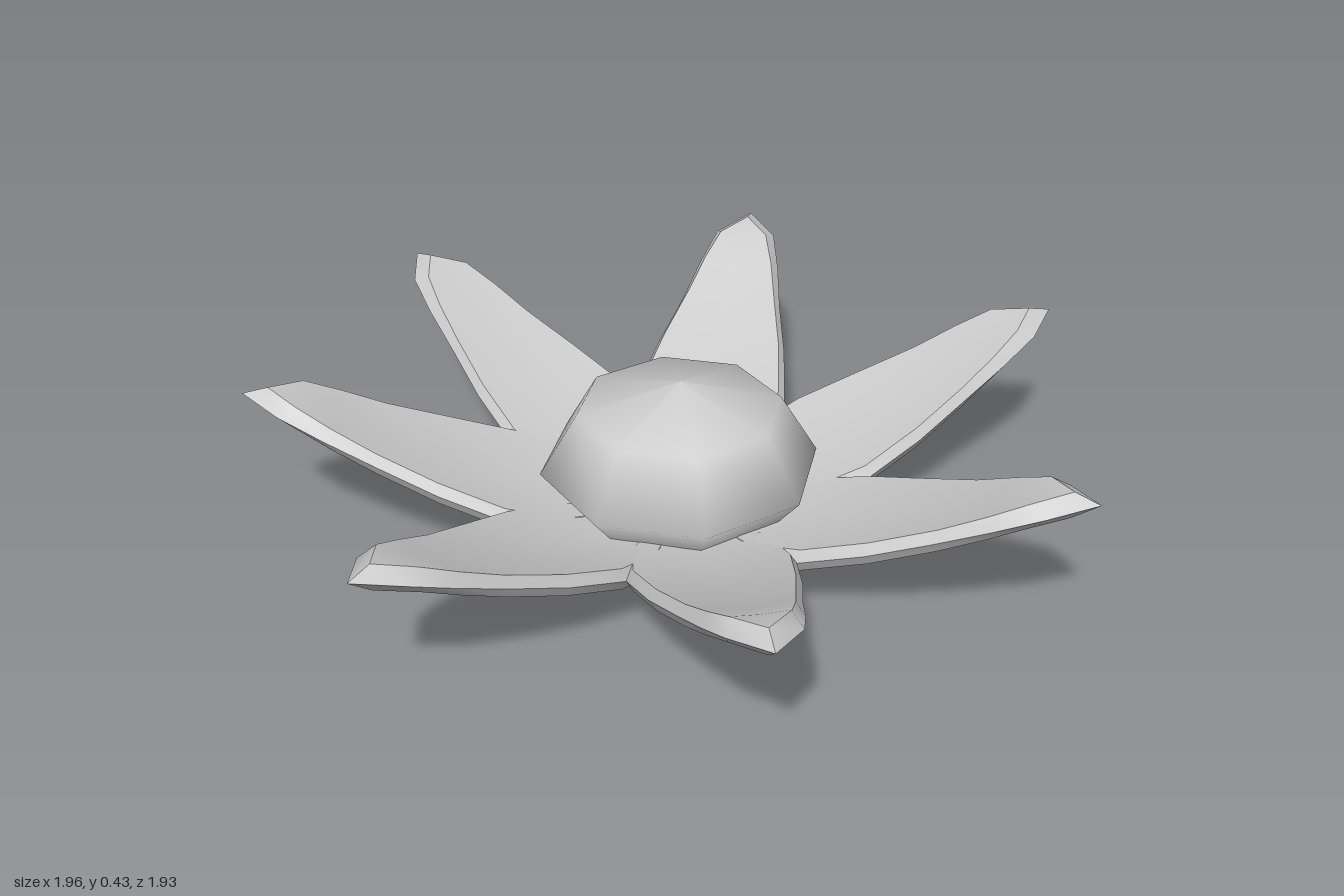
import * as THREE from 'three';
import { toCreasedNormals } from 'three/addons/utils/BufferGeometryUtils.js';

// Petal stations along its length: distance, half width, height, edge inset
const STATIONS = [
  [0.12, 0.09, 0.09, 0],
  [0.26, 0.17, 0.108, 0],
  [0.4, 0.19, 0.145, 0],
  [0.55, 0.165, 0.205, 0],
  [0.69, 0.13, 0.27, 0],
  [0.81, 0.105, 0.33, 0.02],
  [0.91, 0.077, 0.38, 0.04],
  [1.0, 0, 0.405, 0.06],
];

// Thick, slightly cupped petal pointing along +z, with bevelled rims
function petalGeometry() {
  const pos = [];
  const index = [];
  const N = 8;
  for (const [r, hw, y, inset] of STATIONS) {
    const inner = Math.max(hw - 0.016, 0);
    const up = 0.03 - inset * 0.25;
    const down = -0.025 - inset * 0.4;
    const section = [
      [-inner, up, inset], [0, up, inset], [inner, up, inset], [hw, 0, 0],
      [inner, down, inset], [0, down, inset], [-inner, down, inset], [-hw, 0, 0],
    ];
    for (const [x, dy, back] of section) pos.push(x, y + dy + 0.7 * x * x, r - back);
  }
  for (let i = 0; i < STATIONS.length - 1; i++) {
    for (let j = 0; j < N; j++) {
      const a = i * N + j;
      const b = i * N + ((j + 1) % N);
      index.push(a, a + N, b, b, a + N, b + N);
    }
  }
  // Inner end cap
  for (let j = 1; j < N - 1; j++) index.push(0, j, j + 1);
  const geo = new THREE.BufferGeometry();
  geo.setAttribute('position', new THREE.Float32BufferAttribute(pos, 3));
  geo.setIndex(index);
  return toCreasedNormals(geo, 0.6);
}

export function createModel() {
  const model = new THREE.Group();
  model.name = 'flower';
  const material = new THREE.MeshStandardMaterial({ color: 0xcccccc });

  const flower = new THREE.Group();
  flower.name = 'flowerHead';
  flower.position.z = -0.03;
  model.add(flower);

  // Eight-sided rounded centre
  const profile = [[0, 0], [0.22, 0.075], [0.33, 0.21], [0.24, 0.36], [0, 0.425]];
  const centre = new THREE.Mesh(
    new THREE.LatheGeometry(profile.map(([x, y]) => new THREE.Vector2(x, y)), 8),
    material
  );
  centre.name = 'flowerCentre';
  flower.add(centre);

  // Seven petals, spaced a little unevenly
  const geo = petalGeometry();
  [0, 50.6, 103.5, 158.5, 213.5, 261, 309.7].forEach((angle, i) => {
    const petal = new THREE.Mesh(geo, material);
    petal.name = `petal${i + 1}`;
    petal.rotation.y = THREE.MathUtils.degToRad(angle);
    flower.add(petal);
  });

  return model;
}
